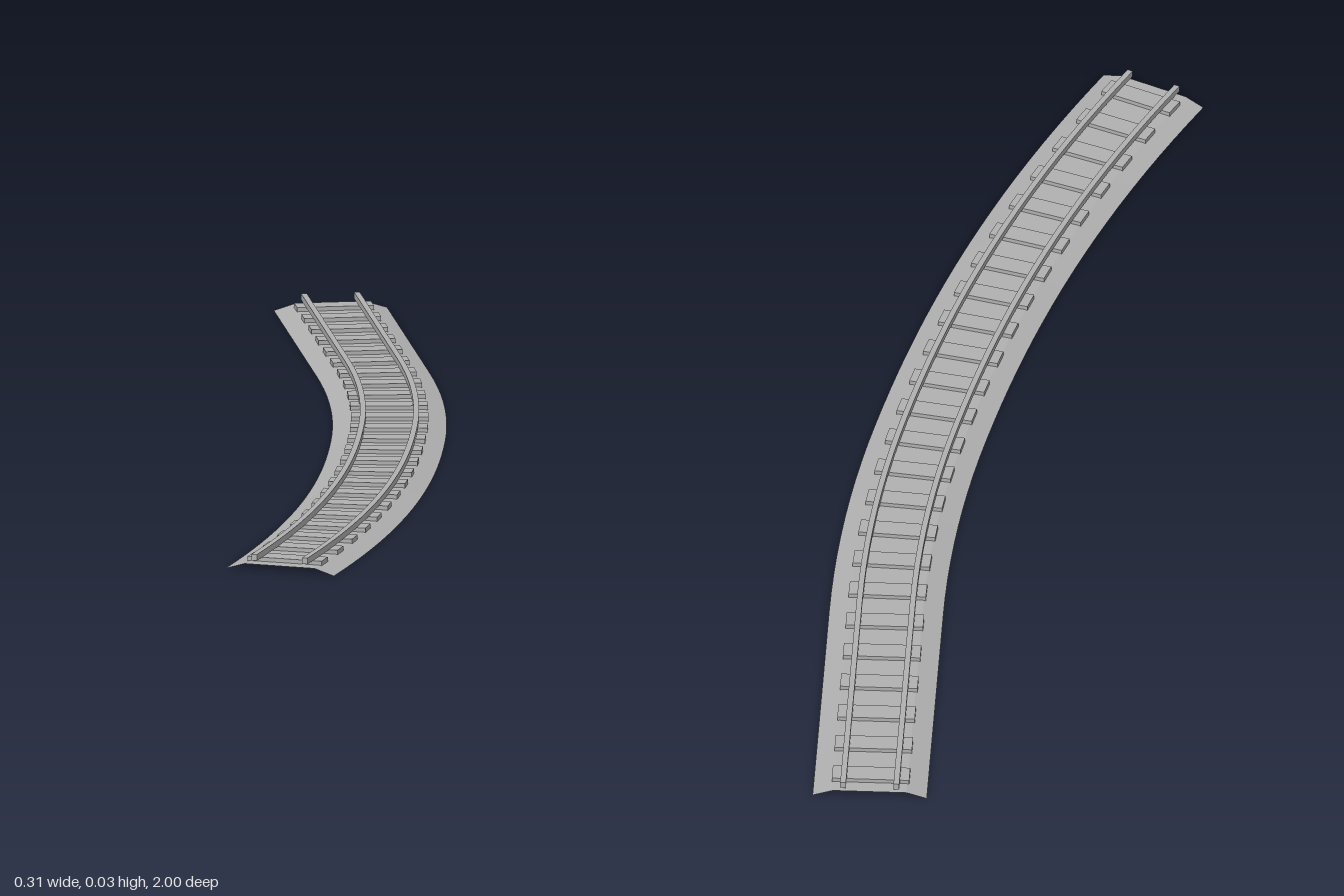
import * as THREE from 'three';

const Z_BACK = -0.985, Z_FRONT = 0.97, Z_BEND = -0.5, Z_PEAK = -0.015, X_PEAK = 0.064;
const SLOPE = 0.18;

// Centre line: straight at the back, easing into a long bend towards the front
function centreX(z) {
  const d = Z_PEAK - Z_BEND;
  if (z < Z_BEND) return X_PEAK - SLOPE * d / 2 - SLOPE * (Z_BEND - z);
  if (z < Z_PEAK) return X_PEAK - SLOPE * (z - Z_PEAK) ** 2 / (2 * d);
  return X_PEAK - 0.135 * Math.pow(z - Z_PEAK, 2.15);
}

function frameAt(z) {
  const e = 0.001;
  const m = (centreX(z + e) - centreX(z - e)) / (2 * e);
  const n = Math.hypot(1, m);
  return { x: centreX(z), z, sx: 1 / n, sz: -m / n, angle: Math.atan(m) };
}

// Sweeps a profile of [sideways, height] points along the centre line
function sweep(profile, closed, steps = 40) {
  const pos = [];
  const rings = [];
  for (let i = 0; i <= steps; i++) {
    const f = frameAt(THREE.MathUtils.lerp(Z_BACK, Z_FRONT, i / steps));
    rings.push(profile.map(([s, y]) => [f.x + s * f.sx, y, f.z + s * f.sz]));
  }
  const tri = (a, b, c) => pos.push(...a, ...b, ...c);
  const n = profile.length;
  for (let i = 0; i < steps; i++) {
    for (let j = 0; j < (closed ? n : n - 1); j++) {
      const k = (j + 1) % n;
      const a = rings[i][j], b = rings[i][k], c = rings[i + 1][k], d = rings[i + 1][j];
      tri(a, b, c);
      tri(a, c, d);
    }
  }
  if (closed) {
    const first = rings[0], last = rings[steps];
    for (let j = 1; j < n - 1; j++) {
      tri(last[0], last[j], last[j + 1]);
      tri(first[0], first[j + 1], first[j]);
    }
  }
  const geo = new THREE.BufferGeometry();
  geo.setAttribute('position', new THREE.Float32BufferAttribute(pos, 3));
  geo.computeVertexNormals();
  return geo;
}

export function createModel() {
  const model = new THREE.Group();
  model.name = 'curvedTrack';
  const grey = new THREE.MeshStandardMaterial({ color: 0xb0b0b0, side: THREE.DoubleSide });
  grey.name = 'grey';

  const add = (geo, name, parent = model) => {
    const mesh = new THREE.Mesh(geo, grey);
    mesh.name = name;
    parent.add(mesh);
    return mesh;
  };

  // Ballast bed: a shell with sloping sides, open underneath
  add(sweep([[0.09, 0], [0.058, 0.01], [-0.058, 0.01], [-0.09, 0]], false), 'ballastBed');

  // Two rails
  for (const [name, c] of [['leftRail', 0.042], ['rightRail', -0.042]]) {
    const w = 0.0045;
    add(sweep([[c - w, 0.016], [c + w, 0.016], [c + w, 0.026], [c - w, 0.026]], true), name);
  }

  // Sleepers, evenly spaced and square to the track
  const sleepers = new THREE.Group();
  sleepers.name = 'sleepers';
  model.add(sleepers);
  const count = 24;
  const sleeperGeo = new THREE.BoxGeometry(0.122, 0.008, 0.034);
  for (let i = 0; i < count; i++) {
    const f = frameAt(THREE.MathUtils.lerp(Z_BACK, Z_FRONT, (i + 0.5) / count));
    const s = add(sleeperGeo, 'sleeper', sleepers);
    s.position.set(f.x, 0.0125, f.z);
    s.rotation.y = f.angle;
  }
  return model;
}
